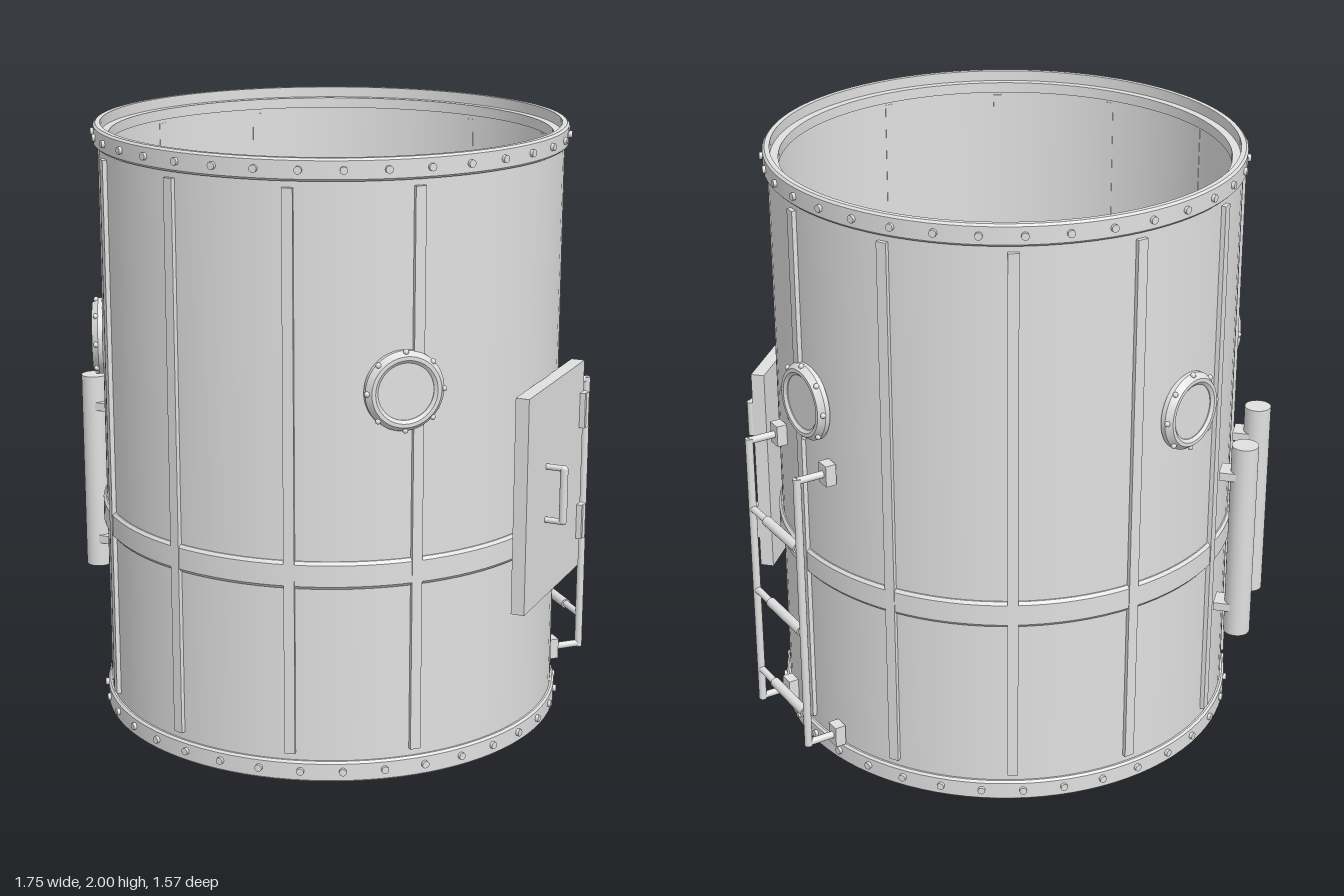
import * as THREE from 'three';
import { toCreasedNormals } from 'three/addons/utils/BufferGeometryUtils.js';

const metal = new THREE.MeshStandardMaterial({ color: 0xe0e0e0 });
const metalSheet = new THREE.MeshStandardMaterial({ color: 0xe0e0e0, side: THREE.DoubleSide });
metal.name = 'light grey metal';
metalSheet.name = 'light grey metal sheet';

const rad = THREE.MathUtils.degToRad;

function add(parent, name, geometry, x = 0, y = 0, z = 0, material = metal) {
  const mesh = new THREE.Mesh(geometry, material);
  mesh.name = name;
  mesh.position.set(x, y, z);
  parent.add(mesh);
  return mesh;
}

// Group turned about the axis so that its local +z points outward (0 = front, 90 = left side)
function spoke(parent, name, degrees) {
  const g = new THREE.Group();
  g.name = name;
  g.rotation.y = rad(degrees);
  parent.add(g);
  return g;
}

// Lathe with sharp profile corners
function turned(points, segments = 96) {
  const profile = points.map(([r, y]) => new THREE.Vector2(r, y));
  return toCreasedNormals(new THREE.LatheGeometry(profile, segments), rad(30));
}

const rod = (radius, length) => new THREE.CylinderGeometry(radius, radius, length, 16);
const rodX = (radius, length) => rod(radius, length).rotateZ(Math.PI / 2);
const rodZ = (radius, length) => rod(radius, length).rotateX(Math.PI / 2);

function buildHull(root) {
  // Single-skin wall
  add(root, 'shell', new THREE.CylinderGeometry(0.762, 0.762, 1.94, 96, 1, true), 0, 1, 0, metalSheet);

  // End rings: chamfered collar with an inner ledge
  const ring = turned([[0.725, 0], [0.768, 0], [0.775, 0.007], [0.775, 0.063], [0.768, 0.07],
    [0.752, 0.07], [0.752, 0.035], [0.725, 0.035], [0.725, 0]]);
  add(root, 'bottomRing', ring);
  add(root, 'topRing', ring, 0, 1.93, 0);

  // Band around the lower middle
  add(root, 'band', turned([[0.762, 0.65], [0.766, 0.65], [0.774, 0.66], [0.774, 0.73],
    [0.766, 0.74], [0.762, 0.74]]));

  // Shallow domed floor, flush with the bore of the bottom ring
  const dome = [];
  for (let i = 0; i <= 24; i++) {
    const a = (i / 24) * Math.PI / 2;
    dome.push(new THREE.Vector2(0.724 * Math.cos(a), 0.01 + 0.13 * Math.sin(a)));
  }
  add(root, 'domedFloor', new THREE.LatheGeometry(dome, 96), 0, 0, 0, metalSheet);

  // Vertical seam strips, leaving the door side clear
  for (let a = 15; a < 360; a += 30) {
    if (a === 75 || a === 105) continue;
    add(spoke(root, 'seamStrip', a), 'strip', new THREE.BoxGeometry(0.034, 1.815, 0.016), 0, 1.003, 0.768);
  }

  // Bolts on both end rings
  const bolt = rodZ(0.012, 0.02);
  for (let i = 0; i < 36; i++) {
    const g = spoke(root, 'ringBolts', -2.5 + i * 10);
    add(g, 'bottomBolt', bolt, 0, 0.038, 0.775);
    add(g, 'topBolt', bolt, 0, 1.965, 0.775);
  }
}

function buildPorthole(root, degrees) {
  const g = spoke(root, 'porthole', degrees);
  const frame = turned([[0.09, 0.758], [0.127, 0.758], [0.127, 0.774], [0.112, 0.794],
    [0.1, 0.794], [0.09, 0.786], [0.09, 0.758]], 48).rotateX(Math.PI / 2);
  add(g, 'portholeFrame', frame, 0, 1.283, 0);
  add(g, 'portholePane', new THREE.CylinderGeometry(0.092, 0.092, 0.02, 48).rotateX(Math.PI / 2), 0, 1.283, 0.773);
  for (let i = 0; i < 8; i++) {
    const a = i * Math.PI / 4;
    add(g, 'portholeBolt', new THREE.SphereGeometry(0.009, 10, 8),
      0.124 * Math.cos(a), 1.283 + 0.124 * Math.sin(a), 0.781);
  }
}

function buildDoor(root) {
  // Local +x points to the rear here
  const g = spoke(root, 'door', 90);
  add(g, 'doorPanel', new THREE.BoxGeometry(0.536, 0.72, 0.045), 0, 0.85, 0.781);
  for (const y of [0.655, 1.045]) {
    add(g, 'hinge', new THREE.BoxGeometry(0.036, 0.12, 0.02), 0.25, y, 0.812);
    add(g, 'hingePin', rod(0.014, 0.12), 0.256, y, 0.813);
  }
  add(g, 'handleGrip', new THREE.CapsuleGeometry(0.013, 0.175, 6, 16), -0.085, 0.85, 0.863);
  for (const y of [0.76, 0.94]) add(g, 'handlePost', rodZ(0.01, 0.065), -0.085, y, 0.832);
}

function buildLadder(root) {
  const g = spoke(root, 'ladder', 135);
  for (const x of [-0.17, 0.17]) {
    add(g, 'ladderRail', rod(0.013, 0.99), x, 0.595, 0.873);
    for (const y of [0.11, 1.082]) {
      add(g, 'ladderBracket', rodZ(0.012, 0.125), x, y, 0.812);
      add(g, 'ladderFoot', new THREE.BoxGeometry(0.05, 0.072, 0.036), x, y, 0.765);
    }
  }
  for (const y of [0.22, 0.53, 0.835]) {
    add(g, 'ladderRung', rodX(0.012, 0.34), 0, y, 0.873);
    add(g, 'rungGrip', rodX(0.017, 0.22), 0.045, y, 0.873);
  }
}

function buildBottles(root) {
  for (const z of [-0.157, 0.15]) {
    const g = new THREE.Group();
    g.name = 'sideBottle';
    root.add(g);
    add(g, 'bottle', new THREE.CylinderGeometry(0.044, 0.044, 0.69, 32), -0.835, 0.735, z);
    for (const y of [0.49, 0.975]) {
      add(g, 'bottleBracket', new THREE.BoxGeometry(0.08, 0.028, 0.076), -0.798, y, z);
    }
  }
}

export function createModel() {
  const root = new THREE.Group();
  root.name = 'hullSection';
  buildHull(root);
  for (const a of [41.6, 138.4, -61.5, -118.5]) buildPorthole(root, a);
  buildDoor(root);
  buildLadder(root);
  buildBottles(root);
  return root;
}
